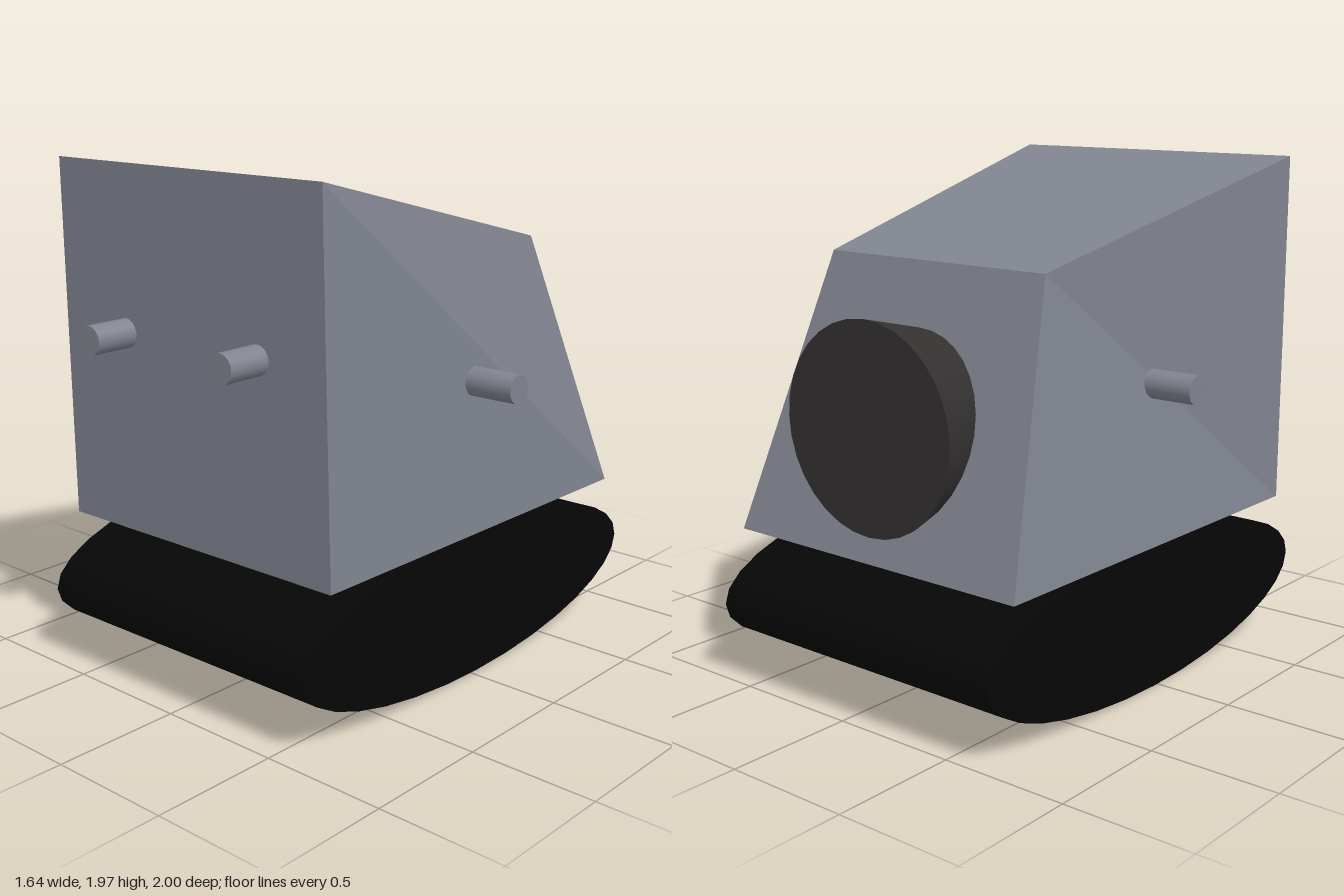
import * as THREE from 'three';

const paint = (color) => new THREE.MeshStandardMaterial({ color });

export function createModel() {
  const group = new THREE.Group();
  const bodyPaint = paint(0x80848f);
  const add = (name, geometry, material) => {
    const mesh = new THREE.Mesh(geometry, material);
    mesh.name = name;
    group.add(mesh);
    return mesh;
  };

  // Wedge body: bottom loop then top loop, slightly skewed
  const corners = [
    -0.71, 0.57, 0.82, 0.63, 0.58, 0.82, 0.63, 0.575, -0.89, -0.71, 0.565, -0.89,
    -0.71, 1.96, 0.83, 0.61, 1.97, 0.83, 0.46, 1.625, -0.54, -0.56, 1.615, -0.54,
  ];
  const faces = [
    0, 1, 5, 0, 5, 4, // front
    1, 2, 5, 2, 6, 5, // left side
    2, 3, 7, 2, 7, 6, // back
    3, 0, 7, 0, 4, 7, // right side
    4, 5, 6, 4, 6, 7, // top
    0, 3, 2, 0, 2, 1, // bottom
  ];
  const indexed = new THREE.BufferGeometry();
  indexed.setAttribute('position', new THREE.Float32BufferAttribute(corners, 3));
  indexed.setIndex(faces);
  const bodyGeometry = indexed.toNonIndexed();
  bodyGeometry.computeVertexNormals();
  add('body', bodyGeometry, bodyPaint);

  // Flattened elliptical roller under the body
  const roller = new THREE.CylinderGeometry(1, 1, 1.315, 32);
  roller.rotateZ(Math.PI / 2).scale(1, 0.29, 0.978);
  roller.rotateZ(0.0076).translate(-0.032, 0.295, -0.019);
  add('roller', roller, paint(0x060606));

  // Flared drum on the sloping back
  const drum = new THREE.CylinderGeometry(0.392, 0.295, 0.4, 32);
  drum.rotateX(-Math.PI / 2 - 0.012).translate(-0.048, 1.065, -0.696);
  add('rearDrum', drum, paint(0x343131));

  // Small round pegs on the front and sides
  const peg = (name, from, to) => {
    const a = new THREE.Vector3(...from);
    const b = new THREE.Vector3(...to);
    const mesh = add(name, new THREE.CylinderGeometry(0.055, 0.055, a.distanceTo(b), 24), bodyPaint);
    mesh.position.copy(a).add(b).multiplyScalar(0.5);
    mesh.quaternion.setFromUnitVectors(new THREE.Vector3(0, 1, 0), b.sub(a).normalize());
  };
  peg('frontPegRight', [-0.37, 1.34, 0.7], [-0.37, 1.34, 1]);
  peg('frontPegLeft', [0.303, 1.345, 0.7], [0.303, 1.345, 1]);
  peg('sidePegRight', [-0.5, 1.16, 0.022], [-0.82, 1.158, 0.022]);
  peg('sidePegLeft', [0.5, 1.172, 0.025], [0.82, 1.175, 0.025]);

  return group;
}
